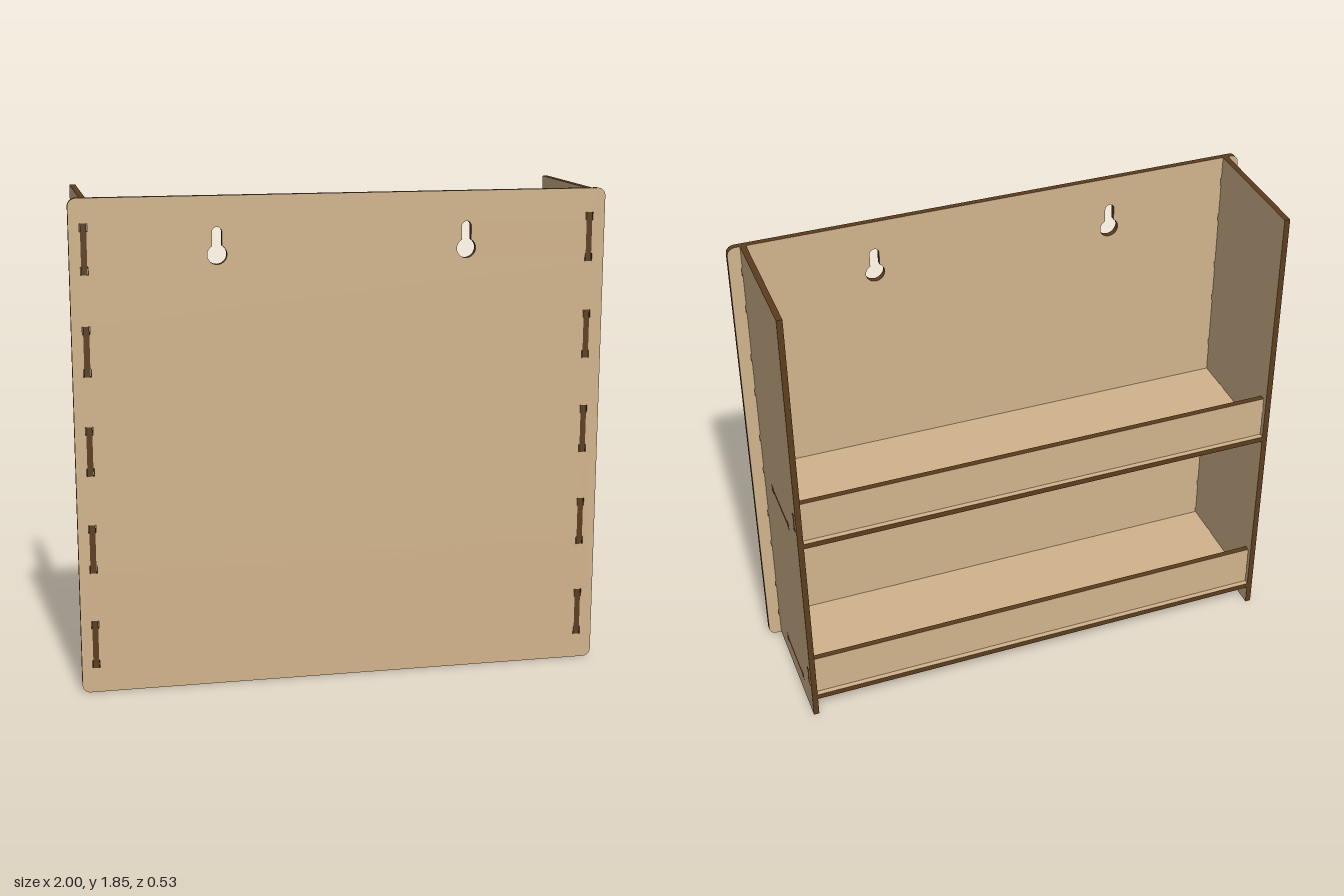
import * as THREE from 'three';

const T = 0.022;            // sheet thickness
const ZF = 0.266;           // outer face of the large panel
const ZI = ZF - T;          // inner face of the large panel
const H = 1.85;
const CX = -0.003;          // centre line of the box behind the panel
const IN = 0.9325;          // half the inner width of the box
const LEVELS = [0.09, 0.86]; // shelf heights
const TAB_Y = [0.095, 0.465, 0.835, 1.205, 1.575];
const TAB_H = 0.185;

const wood = new THREE.MeshStandardMaterial({ color: 0xd2b48c });
wood.name = 'wood face';
const burnt = new THREE.MeshStandardMaterial({ color: 0x5c3d1e });
burnt.name = 'burnt edge';

const toPoints = (pts) => pts.map(([x, y]) => new THREE.Vector2(x, y));

// Slot with slightly wider ends, centred at (cx, cy)
function slot(cx, cy, length, vertical) {
  const a = length / 2, b = a - 0.03 * Math.min(1, length / 0.12);
  const n = T / 2, w = n + 0.003;
  const pts = [[-a, -w], [-b, -w], [-b, -n], [b, -n], [b, -w], [a, -w],
    [a, w], [b, w], [b, n], [-b, n], [-b, w], [-a, w]];
  return new THREE.Path(toPoints(pts.map(([u, v]) => (vertical ? [cx + v, cy + u] : [cx + u, cy + v]))));
}

// Round hole with a narrow rounded neck above it
function keyhole(cx, cy) {
  const r = 0.036, n = 0.018, a = Math.acos(n / r);
  const p = new THREE.Path();
  p.absarc(cx, cy, r, Math.PI - a, Math.PI * 2 + a, false);
  p.absarc(cx, cy + 0.082, n, 0, Math.PI, false);
  p.closePath();
  return p;
}

// Flat sheet: pale faces, dark cut edges
function sheet(name, shape, holes = []) {
  shape.holes.push(...holes);
  const geo = new THREE.ExtrudeGeometry(shape, { depth: T, bevelEnabled: false, curveSegments: 16 });
  const mesh = new THREE.Mesh(geo, [wood, burnt]);
  mesh.name = name;
  return mesh;
}

// Rectangle with a tab on both short ends
function tabbed(y0, y1, t0, t1) {
  const o = IN + T;
  return new THREE.Shape(toPoints([[-IN, y0], [IN, y0], [IN, t0], [o, t0], [o, t1], [IN, t1],
    [IN, y1], [-IN, y1], [-IN, t1], [-o, t1], [-o, t0], [-IN, t0]]));
}

export function createModel() {
  const model = new THREE.Group();
  model.name = 'wallShelf';

  // Large panel with rounded corners, tab slots and hanging holes
  const r = 0.03;
  const outline = new THREE.Shape();
  outline.absarc(1 - r, r, r, -Math.PI / 2, 0);
  outline.absarc(1 - r, H - r, r, 0, Math.PI / 2);
  outline.absarc(-1 + r, H - r, r, Math.PI / 2, Math.PI);
  outline.absarc(-1 + r, r, r, Math.PI, Math.PI * 1.5);
  outline.closePath();
  const holes = [keyhole(CX - 0.466, 1.637), keyhole(CX + 0.466, 1.637)];
  for (const s of [-1, 1]) {
    for (const y of TAB_Y) holes.push(slot(CX + s * (IN + T / 2), y + TAB_H / 2, TAB_H, true));
  }
  const panel = sheet('mainPanel', outline, holes);
  panel.position.z = ZI;
  model.add(panel);

  // Side walls, drawn in (z, y), with tabs through the large panel
  for (const s of [-1, 1]) {
    const pts = [[-ZF, 0], [ZI, 0]];
    for (const y of TAB_Y) pts.push([ZI, y], [ZF, y], [ZF, y + TAB_H], [ZI, y + TAB_H]);
    pts.push([ZI, H], [-ZF, H]);
    const cuts = LEVELS.flatMap((y) => [slot(-0.01, y, 0.26, false), slot(-0.235, y + 0.097, 0.085, true)]);
    const wall = sheet(s > 0 ? 'leftWall' : 'rightWall', new THREE.Shape(toPoints(pts)), cuts);
    wall.rotation.y = -Math.PI / 2;
    wall.position.x = CX + (s > 0 ? IN + T : -IN);
    model.add(wall);
  }

  // Shelves, each with an upright lip
  LEVELS.forEach((y, i) => {
    const shelf = sheet(`shelf${i + 1}`, tabbed(-ZF, ZI, -0.14, 0.12));
    shelf.rotation.x = Math.PI / 2;
    shelf.position.set(CX, y + T / 2, 0);
    const lip = sheet(`lip${i + 1}`, tabbed(T / 2, 0.183, 0.055, 0.139));
    lip.position.set(CX, y, -0.235 - T / 2);
    model.add(shelf, lip);
  });

  return model;
}
